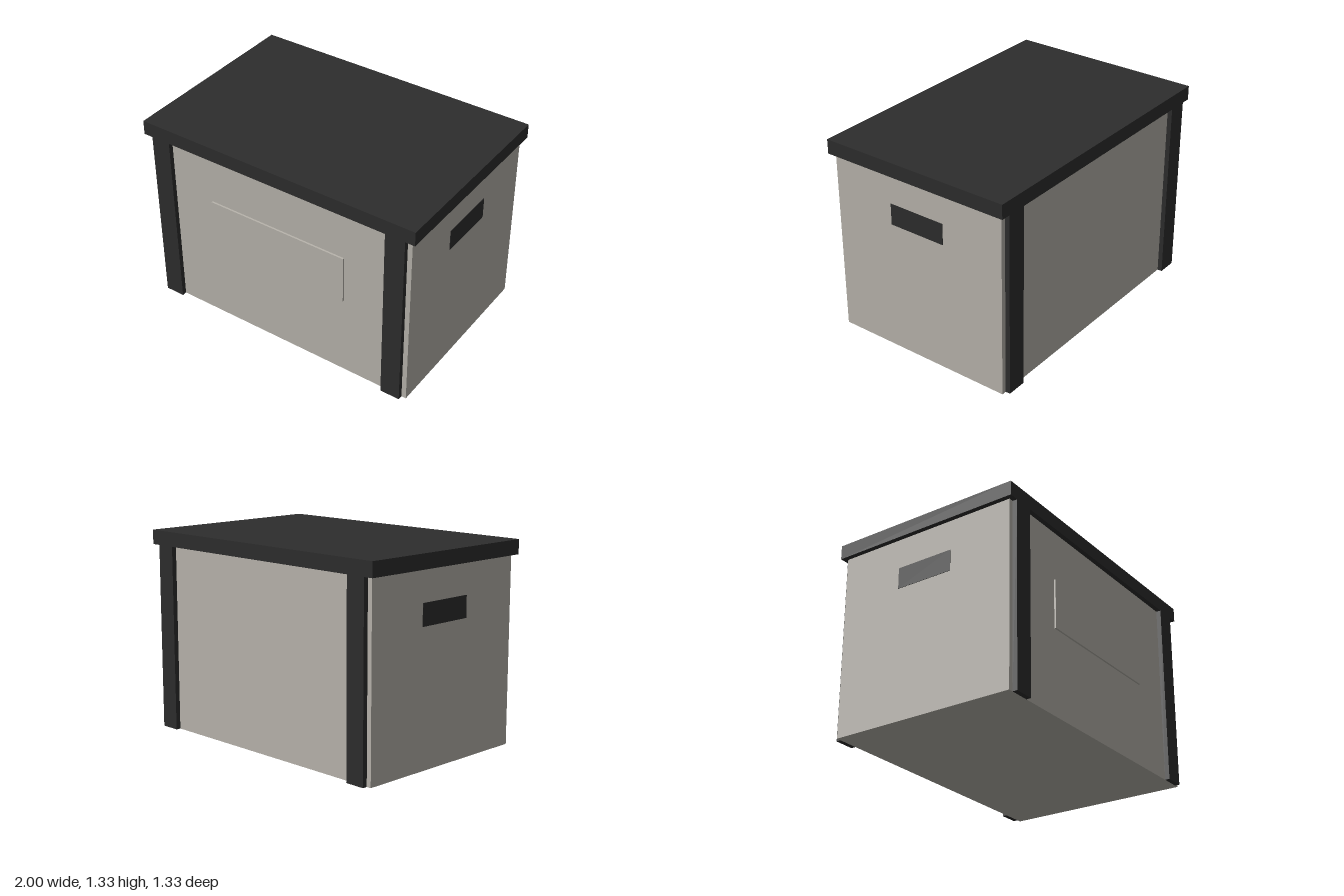
import * as THREE from 'three';

export function createModel() {
  const model = new THREE.Group();
  const wall = new THREE.MeshStandardMaterial({ color: 0xb8b4ac });
  wall.name = 'warm grey';
  const trim = new THREE.MeshStandardMaterial({ color: 0x2d2d2d });
  trim.name = 'charcoal';

  // Box given by its minimum and maximum corners
  function box(name, material, [x0, y0, z0], [x1, y1, z1]) {
    const mesh = new THREE.Mesh(new THREE.BoxGeometry(x1 - x0, y1 - y0, z1 - z0), material);
    mesh.position.set((x0 + x1) / 2, (y0 + y1) / 2, (z0 + z1) / 2);
    mesh.name = name;
    model.add(mesh);
  }

  box('body', wall, [-0.967, 0, -0.635], [0.967, 1.237, 0.635]);
  box('lid', trim, [-1, 1.237, -0.667], [1, 1.333, 0.667]);

  // Raised panel on the front
  box('frontPanel', wall, [-0.5, 0.57, 0.63], [0.5, 0.9, 0.647]);

  for (const sx of [-1, 1]) {
    const side = sx > 0 ? 'left' : 'right';
    // Corner posts on the front and back walls
    for (const sz of [-1, 1]) {
      const xs = [sx * 0.8, sx * 0.935].sort((a, b) => a - b);
      const zs = [sz * 0.635, sz * 0.667].sort((a, b) => a - b);
      box(`${side}${sz > 0 ? 'Front' : 'Back'}Post`, trim, [xs[0], 0, zs[0]], [xs[1], 1.237, zs[1]]);
    }
    // Dark hand slot on each end wall
    const x = sx * 0.967;
    box(`${side}HandSlot`, trim, [x - 0.003, 0.89, -0.2], [x + 0.003, 1.033, 0.2]);
  }
  return model;
}
